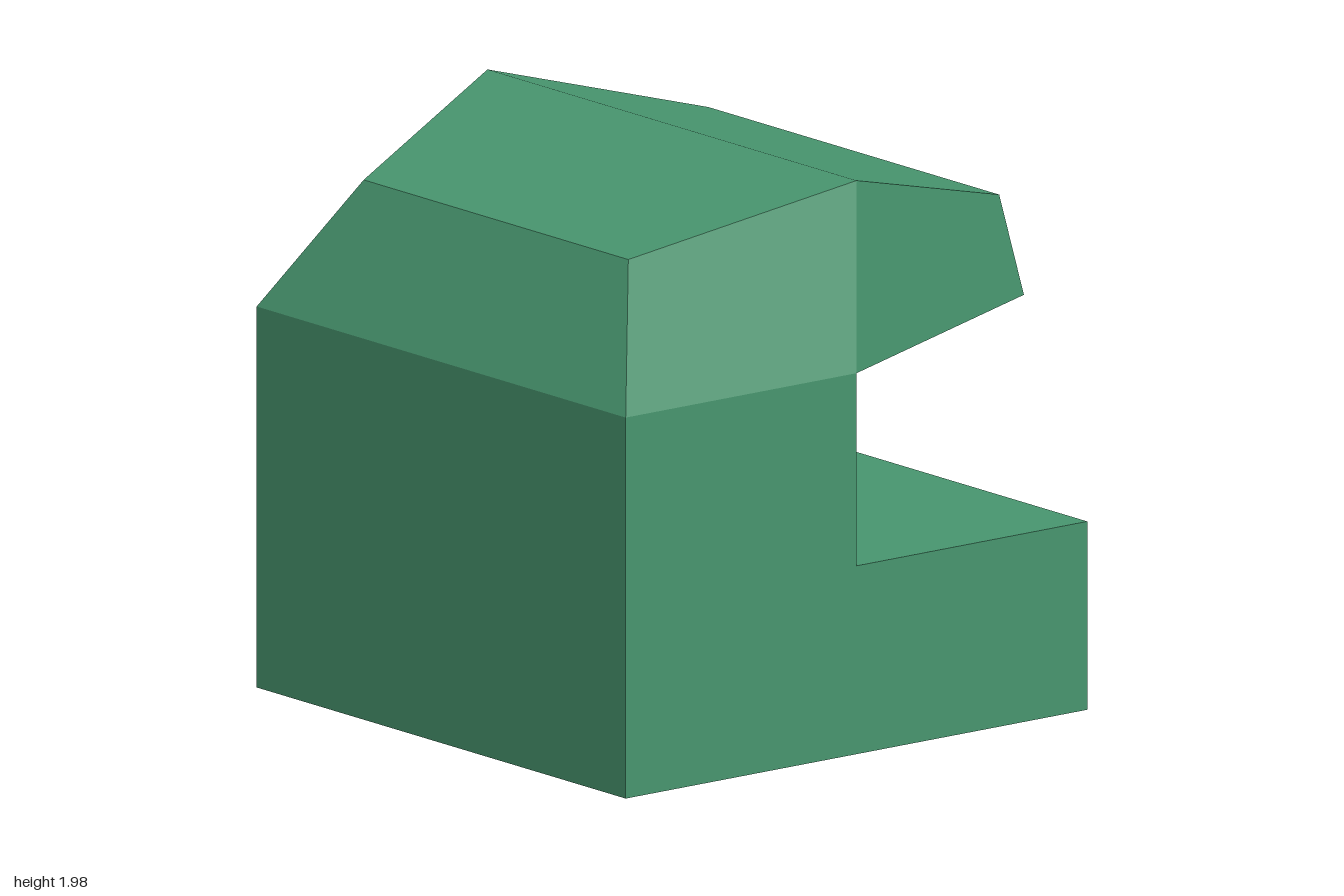
import * as THREE from 'three';

const green = new THREE.MeshStandardMaterial({ color: 0x48966f });
const red = new THREE.MeshStandardMaterial({ color: 0xe63e4c, flatShading: true });
const grey = new THREE.MeshStandardMaterial({ color: 0xcccccc });

// Body extents across x
const LEFT = 1.0, RIGHT = -0.98;

// Each quad is split along its first-to-third diagonal and shaded as one face
function quadGeometry(quads) {
  const positions = [], normals = [];
  for (const [a, b, c, d] of quads.map(q => q.map(p => new THREE.Vector3(...p)))) {
    const n = c.clone().sub(a).cross(d.clone().sub(b)).normalize();
    for (const p of [a, b, c, a, c, d]) {
      positions.push(p.x, p.y, p.z);
      normals.push(n.x, n.y, n.z);
    }
  }
  const geometry = new THREE.BufferGeometry();
  geometry.setAttribute('position', new THREE.Float32BufferAttribute(positions, 3));
  geometry.setAttribute('normal', new THREE.Float32BufferAttribute(normals, 3));
  return geometry;
}

function addMesh(group, name, geometry, material) {
  const mesh = new THREE.Mesh(geometry, material);
  mesh.name = name;
  group.add(mesh);
  return mesh;
}

export function createModel() {
  const model = new THREE.Group();
  model.name = 'machine';

  // Body: low rear tray and tall front block, one side profile
  const profile = new THREE.Shape([
    [-0.99, 0], [0.99, 0], [0.99, 0.65], [0, 0.65], [0, 1.315], [-0.99, 1.315],
  ].map(([x, y]) => new THREE.Vector2(x, y)));
  const body = new THREE.ExtrudeGeometry(profile, { depth: LEFT - RIGHT, bevelEnabled: false });
  body.rotateY(Math.PI / 2).translate(RIGHT, 0, 0);
  addMesh(model, 'body', body, green);

  // Hood corners on one side; the inset narrows it towards front and back
  const corners = (x, s) => ({
    base: [x, 1.315, 0],
    ridge: [x, 1.98, 0],
    brow: [x - s * 0.28, 1.77, 0.755],
    front: [x, 1.315, 0.99],
    backTop: [x - s * 0.21, 1.77, -0.78],
    backLow: [x - s * 0.14, 1.43, -0.83],
  });
  const l = corners(LEFT, 1), r = corners(RIGHT, -1);
  addMesh(model, 'hood', quadGeometry([
    [r.front, l.front, l.brow, r.brow],            // front slope
    [r.brow, l.brow, l.ridge, r.ridge],            // front roof
    [r.ridge, l.ridge, l.backTop, r.backTop],      // rear roof
    [r.backTop, l.backTop, l.backLow, r.backLow],  // rear edge
    [r.backLow, l.backLow, l.base, r.base],        // underside
    [l.base, l.ridge, l.brow, l.front],            // left cheek
    [r.ridge, r.base, r.front, r.brow],            // right cheek
    [l.ridge, l.base, l.backLow, l.backTop],       // left overhang
    [r.backLow, r.base, r.ridge, r.backTop],       // right overhang
  ]), green);

  // Cone under the overhang, its tip buried in the hood
  addMesh(model, 'nozzle', new THREE.ConeGeometry(0.295, 0.46, 32), red)
    .position.set(0.01, 1.37, -0.495);

  // Thin panel on the right wall
  addMesh(model, 'sidePanel', new THREE.BoxGeometry(0.02, 0.79, 0.58), grey)
    .position.set(-0.99, 0.795, 0.49);

  return model;
}
